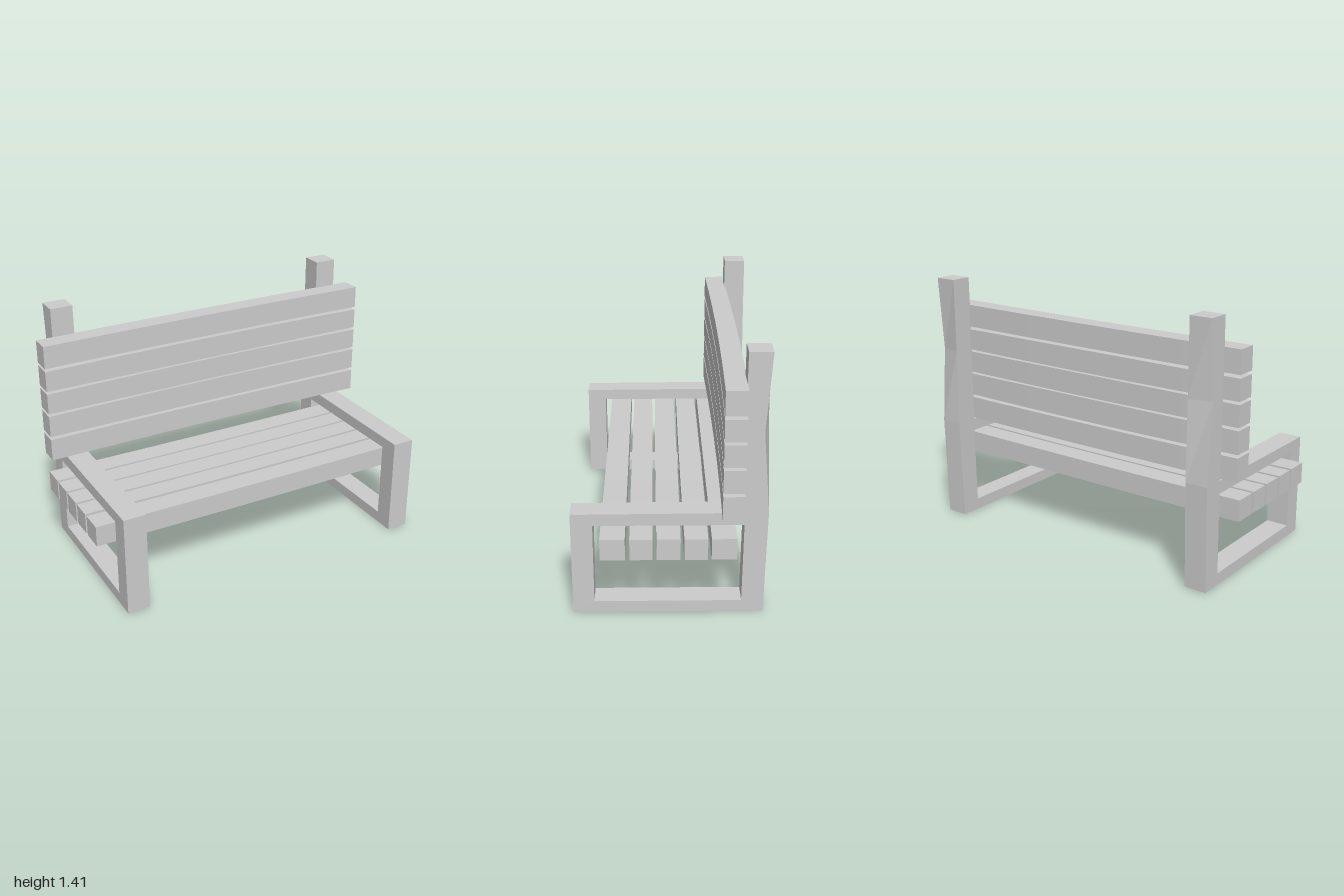
import * as THREE from 'three';

const material = new THREE.MeshStandardMaterial({ color: 0xcccccc, flatShading: true });

// Side frame: leg, arm, ground rail and back post in one piece, drawn as (z, y)
function sideFrame(side) {
  const toPoints = list => list.map(([z, y]) => new THREE.Vector2(z, y));
  const outline = new THREE.Shape(toPoints([
    [0.495, 0], [0.495, 0.565], [-0.37, 0.57], [-0.362, 1.0], [-0.365, 1.41],
    [-0.483, 1.41], [-0.485, 1.0], [-0.49, 0.57], [-0.478, 0],
  ]));
  outline.holes.push(new THREE.Path(toPoints([
    [0.385, 0.065], [-0.366, 0.065], [-0.371, 0.502], [0.385, 0.502],
  ])));
  const geometry = new THREE.ExtrudeGeometry(outline, { depth: 0.125, bevelEnabled: false });
  geometry.rotateY(-Math.PI / 2);
  geometry.translate(side > 0 ? 0.905 : -0.78, 0, 0);

  // Hand-hewn dent on the outer rear edge of the post
  const p = geometry.attributes.position;
  for (let i = 0; i < p.count; i++) {
    const outer = Math.abs(p.getX(i)) > 0.85;
    if (outer && Math.abs(p.getY(i) - 1) < 0.01 && p.getZ(i) < -0.45) p.setZ(i, -0.455);
  }
  geometry.computeVertexNormals();
  return new THREE.Mesh(geometry, material);
}

// Slat between the given y and z limits, slightly swollen and bowed mid-length
function slat(y0, y1, z0, z1, swellY, swellZ, bowY, bowZ) {
  const geometry = new THREE.BoxGeometry(1.995, y1 - y0, z1 - z0, 6, 1, 1);
  const p = geometry.attributes.position;
  for (let i = 0; i < p.count; i++) {
    const bend = 1 - p.getX(i) ** 2;
    p.setY(i, p.getY(i) + bend * (Math.sign(p.getY(i)) * swellY + bowY));
    p.setZ(i, p.getZ(i) + bend * (Math.sign(p.getZ(i)) * swellZ + bowZ));
  }
  geometry.translate(0, (y0 + y1) / 2, (z0 + z1) / 2);
  geometry.computeVertexNormals();
  return new THREE.Mesh(geometry, material);
}

export function createModel() {
  const bench = new THREE.Group();
  bench.name = 'bench';

  for (const side of [1, -1]) {
    const frame = sideFrame(side);
    frame.name = side > 0 ? 'leftFrame' : 'rightFrame';
    bench.add(frame);
  }

  // Seat slats, front to back
  const seat = new THREE.Group();
  seat.name = 'seat';
  [[0.222, 0.347], [0.087, 0.2], [-0.052, 0.067], [-0.187, -0.07], [-0.33, -0.205]].forEach(([z0, z1], i) => {
    const mesh = slat(0.36, 0.475, z0, z1, 0, i % 4 ? 0.003 : 0, -0.005, 0);
    mesh.name = `seatSlat${i + 1}`;
    seat.add(mesh);
  });
  bench.add(seat);

  // Backrest slats, bottom to top
  const backrest = new THREE.Group();
  backrest.name = 'backrest';
  [[0.58, 0.705], [0.723, 0.845], [0.861, 0.977], [0.993, 1.108], [1.126, 1.252]].forEach(([y0, y1], i) => {
    const mesh = slat(y0, y1, -0.364, -0.255, i % 4 ? 0.004 : 0, 0, 0, -0.012);
    mesh.name = `backSlat${i + 1}`;
    backrest.add(mesh);
  });
  bench.add(backrest);

  return bench;
}
